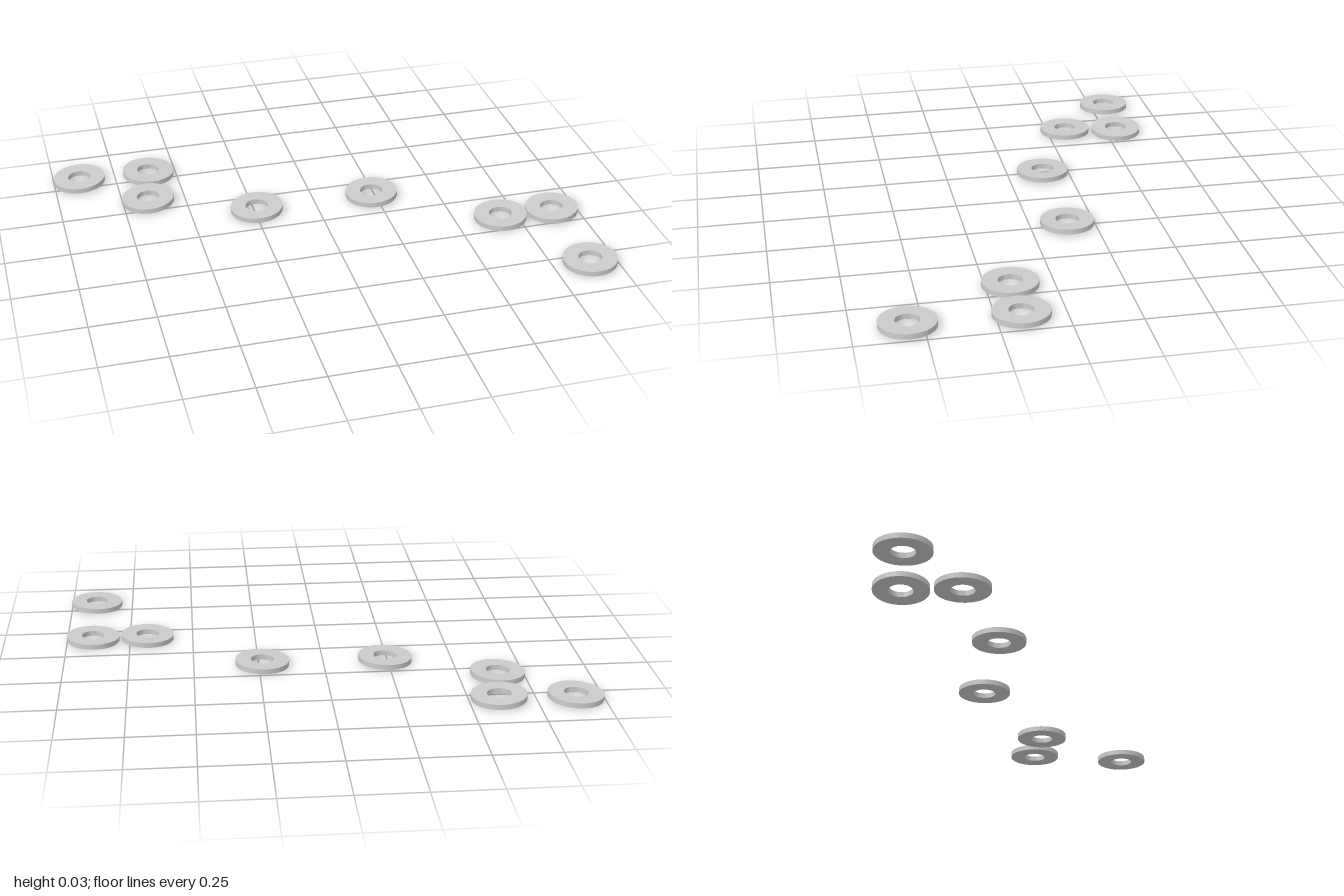
import * as THREE from 'three';
import { toCreasedNormals } from 'three/addons/utils/BufferGeometryUtils.js';

const OUTER = 0.104, INNER = 0.045, THICK = 0.02, TILT = 0.035;

// Flat ring: a rectangular section turned about the y axis
function ringGeometry() {
  const h = THICK / 2;
  const section = [[INNER, -h], [OUTER, -h], [OUTER, h], [INNER, h], [INNER, -h]]
    .map(([r, y]) => new THREE.Vector2(r, y));
  return toCreasedNormals(new THREE.LatheGeometry(section, 32), 0.6);
}

export function createModel() {
  const model = new THREE.Group();
  model.name = 'washers';
  const material = new THREE.MeshStandardMaterial({ color: 0xcccccc });
  const geometry = ringGeometry();

  // x, z and tilt direction of each washer (one leans the other way)
  const places = [
    [-0.896, -0.556, 1], [-0.612, -0.543, -1], [-0.648, -0.325, 1],
    [-0.24, -0.144, 1], [0.236, -0.144, 1],
    [0.68, 0.16, 1], [0.896, 0.16, 1], [0.896, 0.554, 1],
  ];
  // Centre height that rests the lowest rim on the ground
  const rest = OUTER * Math.sin(TILT) + (THICK / 2) * Math.cos(TILT);

  places.forEach(([x, z, lean], i) => {
    const washer = new THREE.Mesh(geometry, material);
    washer.name = `washer${i + 1}`;
    washer.position.set(x, rest, z);
    washer.rotation.z = lean * TILT;
    model.add(washer);
  });
  return model;
}
